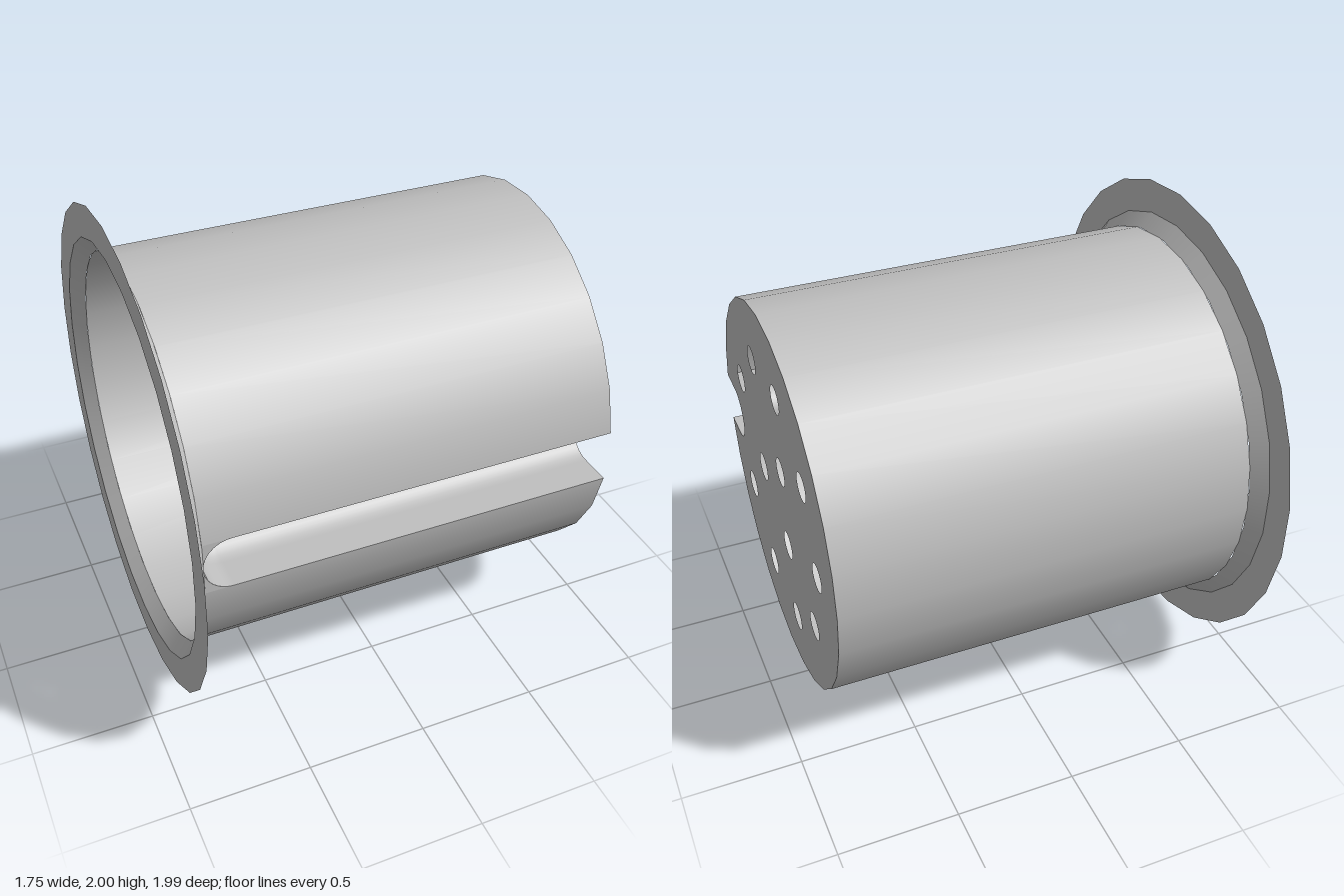
import * as THREE from 'three';

const SEG = 26;
const WALL_R = 0.805, LIP_R = 0.862, RIM_R = 1;
const X_RIM = -0.875, X_WALL = -0.82, X_END = 0.875;
const SLOT_R = 0.113, SLOT_Z = 0.665;       // groove radius and depth of its axis
const SLOT_X = X_WALL + SLOT_R;             // centre of the rounded groove end
const GAP = Math.asin(SLOT_R / WALL_R);     // half angle the groove cuts from the wall
const WALL_Z = WALL_R * Math.cos(GAP);

// Open tube along x
function tube(rLeft, rRight, x0, x1, start, length) {
  const g = new THREE.CylinderGeometry(rRight, rLeft, x1 - x0, SEG, 1, true, start, length);
  return g.rotateZ(-Math.PI / 2).translate((x0 + x1) / 2, 0, 0);
}

// Round-bottomed channel with a ball-shaped blind end
function grooveGeometry() {
  const sections = [];
  const steps = 12, arc = 20;
  for (let i = 0; i <= steps; i++) {
    const t = (Math.PI / 2) * (1 - i / steps);
    sections.push([SLOT_X - SLOT_R * Math.sin(t), t]);
  }
  sections.push([X_END, 0]);
  const pos = [], nor = [], idx = [];
  const cols = arc + 3;
  sections.forEach(([x, t], i) => {
    for (let j = 0; j < cols; j++) {
      const k = Math.min(Math.max(j - 1, 0), arc);
      const a = Math.cos((Math.PI * k) / arc) * Math.cos(t);
      const b = -Math.sin((Math.PI * k) / arc) * Math.cos(t);
      const open = j === 0 || j === cols - 1;
      pos.push(x, a * SLOT_R, open ? WALL_Z : SLOT_Z + b * SLOT_R);
      nor.push(Math.sin(t), -a, -b);
      if (i < sections.length - 1 && j < cols - 1) {
        const p = i * cols + j, q = p + cols;
        idx.push(p, p + 1, q, p + 1, q + 1, q);
      }
    }
  });
  const g = new THREE.BufferGeometry();
  g.setAttribute('position', new THREE.Float32BufferAttribute(pos, 3));
  g.setAttribute('normal', new THREE.Float32BufferAttribute(nor, 3));
  g.setIndex(idx);
  return g;
}

// Perforated end disc, notched where the groove runs out
function endPlateGeometry() {
  const s = new THREE.Shape();
  const from = -Math.PI + GAP, span = 2 * (Math.PI - GAP);
  for (let i = 0; i <= SEG; i++) {
    const a = from + (span * i) / SEG;
    s[i ? 'lineTo' : 'moveTo'](WALL_R * Math.cos(a), WALL_R * Math.sin(a));
  }
  s.lineTo(-SLOT_Z, SLOT_R);
  s.absarc(-SLOT_Z, 0, SLOT_R, Math.PI / 2, -Math.PI / 2, true);
  s.closePath();
  const hole = (r, deg) => {
    const a = THREE.MathUtils.degToRad(deg);
    s.holes.push(new THREE.Path().absarc(r * Math.cos(a), r * Math.sin(a), 0.058, 0, Math.PI * 2, true));
  };
  for (let i = -4; i <= 4; i++) hole(0.554, i * 37.6);
  for (const deg of [60, 180, 300]) hole(0.21, deg);
  return new THREE.ShapeGeometry(s, 16).rotateY(Math.PI / 2).translate(X_END, 0, 0);
}

// Small wall corner beside the rounded groove end
function cornerGeometry(side) {
  const s = new THREE.Shape();
  s.moveTo(SLOT_X, side * SLOT_R);
  s.lineTo(X_WALL, side * SLOT_R);
  s.lineTo(X_WALL, 0);
  s.absarc(SLOT_X, 0, SLOT_R, Math.PI, side > 0 ? Math.PI / 2 : Math.PI * 1.5, side > 0);
  return new THREE.ShapeGeometry(s, 12).translate(0, 0, WALL_Z);
}

export function createModel() {
  const group = new THREE.Group();
  group.name = 'perforatedBasket';
  const metal = new THREE.MeshStandardMaterial({ color: 0xc0c0c0, side: THREE.DoubleSide });
  metal.name = 'lightGrey';
  const add = (name, geometry) => {
    const mesh = new THREE.Mesh(geometry, metal);
    mesh.name = name;
    group.add(mesh);
  };

  const half = Math.PI / SEG;
  add('wall', tube(WALL_R, WALL_R, X_WALL, X_END, GAP, 2 * (Math.PI - GAP)));
  add('flaredLip', tube(LIP_R, WALL_R, X_RIM, X_WALL, half, Math.PI * 2));
  add('flatRim', new THREE.RingGeometry(LIP_R, RIM_R, SEG, 1, half, Math.PI * 2)
    .rotateY(-Math.PI / 2).translate(X_RIM, 0, 0));
  add('endPlate', endPlateGeometry());
  add('groove', grooveGeometry());
  add('upperGrooveCorner', cornerGeometry(1));
  add('lowerGrooveCorner', cornerGeometry(-1));

  group.position.y = 1;
  return group;
}
